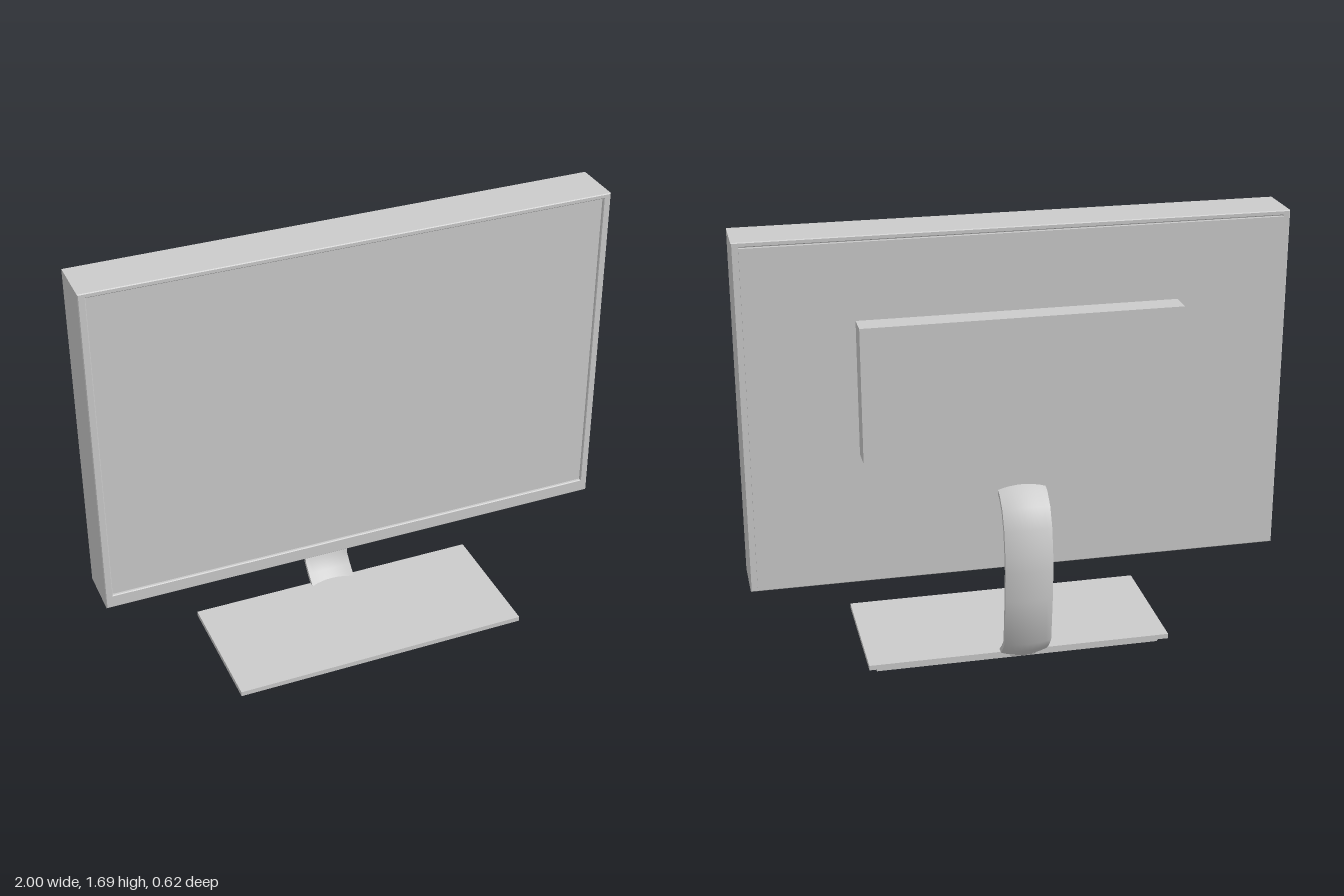
import * as THREE from 'three';
import { toCreasedNormals } from 'three/addons/utils/BufferGeometryUtils.js';

const material = new THREE.MeshStandardMaterial({ color: 0xcccccc });

function add(group, name, geometry) {
  const mesh = new THREE.Mesh(geometry, material);
  mesh.name = name;
  group.add(mesh);
  return mesh;
}

// Box given by its minimum and maximum on each axis
function box(group, name, [x0, x1], [y0, y1], [z0, z1]) {
  const mesh = add(group, name, new THREE.BoxGeometry(x1 - x0, y1 - y0, z1 - z0));
  mesh.position.set((x0 + x1) / 2, (y0 + y1) / 2, (z0 + z1) / 2);
}

function rectangle(path, x0, x1, y0, y1) {
  path.moveTo(x0, y0).lineTo(x1, y0).lineTo(x1, y1).lineTo(x0, y1).closePath();
  return path;
}

// Curved band: a shallow bowed cross-section swept along a side profile
function neckGeometry() {
  // [z, y] down the middle of the outer face
  const profile = [
    [-0.15, 0.716], [-0.2, 0.7], [-0.25, 0.655], [-0.285, 0.58], [-0.304, 0.48], [-0.31, 0.42],
    [-0.305, 0.3], [-0.285, 0.11], [-0.245, 0.06], [-0.195, 0.015],
  ].map(([z, y]) => new THREE.Vector2(z, y));
  const halfWidth = 0.09, centreX = -0.01, bow = 0.014, thickness = 0.018, columns = 8;

  // Cross-section loop: outer face left to right, inner face back again
  const section = [];
  for (let i = 0; i <= columns; i++) {
    const u = (i / columns) * 2 - 1;
    section.push([u * halfWidth, bow * u * u]);
  }
  for (let i = columns; i >= 0; i--) section.push([section[i][0], section[i][1] + thickness]);

  const positions = [], indices = [], n = section.length;
  profile.forEach((p, i) => {
    const before = profile[Math.max(i - 1, 0)], after = profile[Math.min(i + 1, profile.length - 1)];
    const t = after.clone().sub(before).normalize();
    // Inward direction, pointing towards the screen
    const inZ = -t.y, inY = t.x;
    for (const [x, d] of section) positions.push(centreX + x, p.y + inY * d, p.x + inZ * d);
  });
  for (let i = 0; i < profile.length - 1; i++) {
    for (let j = 0; j < n; j++) {
      const a = i * n + j, b = i * n + ((j + 1) % n);
      indices.push(a, b, a + n, b, b + n, a + n);
    }
  }
  // End caps
  const last = (profile.length - 1) * n;
  for (let j = 0; j < columns; j++) {
    const k = n - 1 - j;
    indices.push(j, k, j + 1, j + 1, k, k - 1);
    indices.push(last + j, last + j + 1, last + k, last + j + 1, last + k - 1, last + k);
  }
  const geometry = new THREE.BufferGeometry();
  geometry.setAttribute('position', new THREE.Float32BufferAttribute(positions, 3));
  geometry.setIndex(indices);
  return toCreasedNormals(geometry, 0.8);
}

export function createModel() {
  const model = new THREE.Group();
  model.name = 'monitor';

  // Casing: a deep frame with a thin bezel, wider along the bottom
  const bezel = rectangle(new THREE.Shape(), -0.997, 0.997, 0.378, 1.687);
  bezel.holes.push(rectangle(new THREE.Path(), -0.975, 0.975, 0.425, 1.675));
  const casing = new THREE.ExtrudeGeometry(bezel, {
    depth: 0.194, bevelEnabled: true, bevelSize: 0.003, bevelThickness: 0.003, bevelSegments: 1,
  });
  casing.translate(0, 0, -0.152);
  add(model, 'casing', casing);

  // Screen set back behind the bezel
  box(model, 'screen', [-0.975, 0.975], [0.425, 1.675], [-0.15, 0.034]);

  // Rear cover and the raised housing on it
  box(model, 'backPanel', [-0.975, 0.975], [0.393, 1.67], [-0.162, -0.15]);
  box(model, 'rearHousing', [-0.585, 0.585], [0.885, 1.387], [-0.252, -0.16]);

  // Stand
  add(model, 'neck', neckGeometry());
  box(model, 'basePlate', [-0.582, 0.582], [0.027, 0.046], [-0.205, 0.314]);

  // Foot pad under the base, slightly deeper towards the rear
  const wedge = new THREE.Shape();
  wedge.moveTo(-0.28, 0.014).lineTo(0.17, 0).lineTo(0.17, 0.028).lineTo(-0.28, 0.028).closePath();
  const pad = new THREE.ExtrudeGeometry(wedge, { depth: 1.1, bevelEnabled: false });
  pad.translate(0, 0, -0.55);
  pad.rotateY(Math.PI / 2);
  add(model, 'footPad', pad);

  return model;
}
